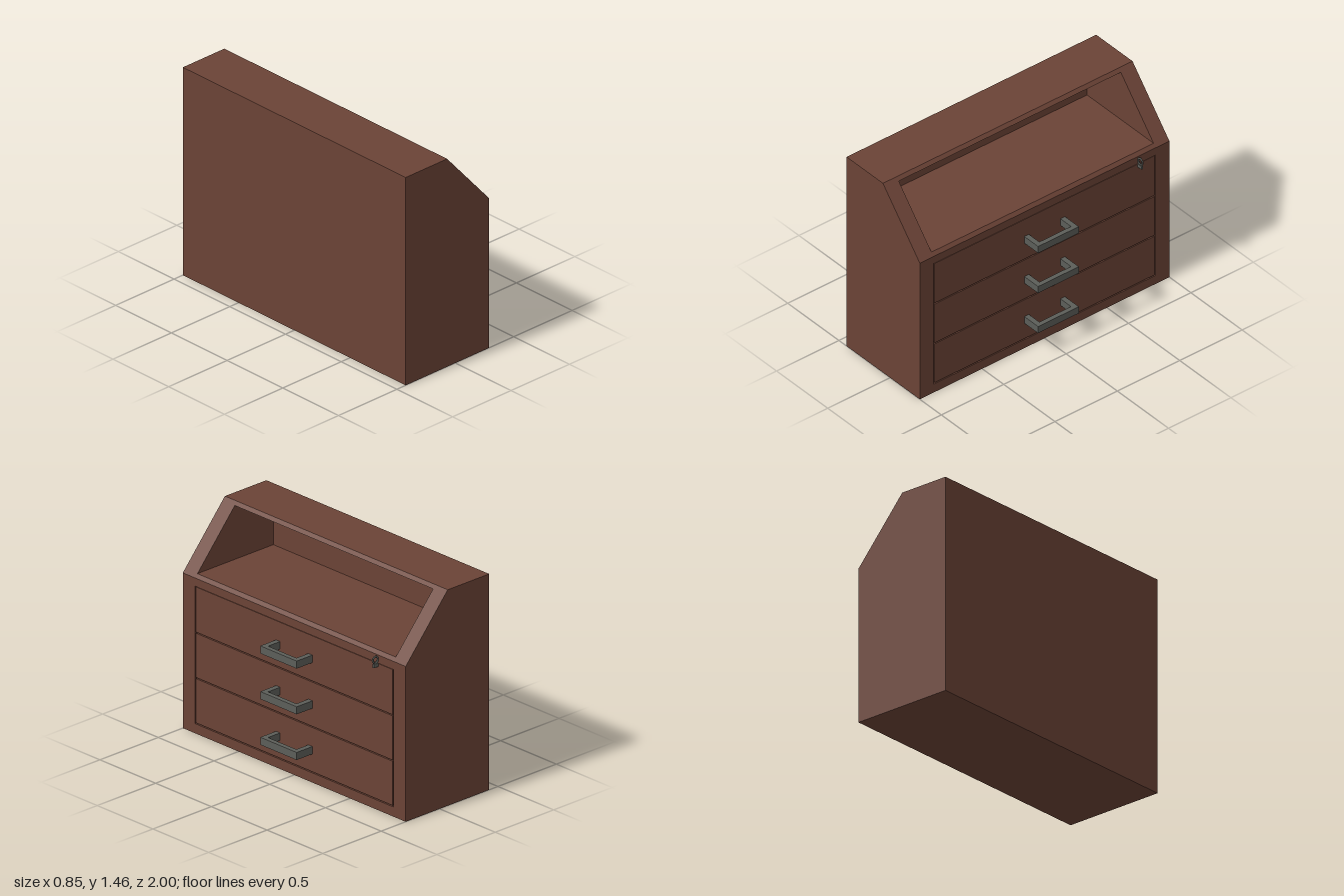
import * as THREE from 'three';

const HALF = 1;          // half length of the cabinet
const INNER = 0.89;      // half length between the side panels
const FRONT = 0.29;      // x of the drawer face
const BACK = -0.425;

export function createModel() {
  const wood = new THREE.MeshStandardMaterial({ color: 0x6b4336 });
  wood.name = 'brown wood';
  const metal = new THREE.MeshStandardMaterial({ color: 0x5c5e59 });
  metal.name = 'grey metal';

  const model = new THREE.Group();
  model.name = 'writingBureau';

  // Extrudes a side profile (x, y) between two z values
  function panel(name, points, z0, z1) {
    const shape = new THREE.Shape(points.map(([x, y]) => new THREE.Vector2(x, y)));
    const geo = new THREE.ExtrudeGeometry(shape, { depth: z1 - z0, bevelEnabled: false });
    geo.translate(0, 0, z0);
    const mesh = new THREE.Mesh(geo, wood);
    mesh.name = name;
    model.add(mesh);
  }

  // Box given by its minimum and maximum corners
  function box(parent, name, material, [x0, y0, z0], [x1, y1, z1]) {
    const mesh = new THREE.Mesh(new THREE.BoxGeometry(x1 - x0, y1 - y0, z1 - z0), material);
    mesh.position.set((x0 + x1) / 2, (y0 + y1) / 2, (z0 + z1) / 2);
    mesh.name = name;
    parent.add(mesh);
  }

  // Solid end panels with the sloping front corner
  const side = [[BACK, 0], [FRONT, 0], [FRONT, 1.05], [-0.07, 1.46], [BACK, 1.46]];
  panel('leftSidePanel', side, INNER, HALF);
  panel('rightSidePanel', side, -HALF, -INNER);

  // Carcass between the ends: drawer recess below, open desk compartment above
  panel('carcass', [
    [BACK, 0], [FRONT, 0], [FRONT, 0.065], [0.25, 0.065], [0.25, 0.995], [FRONT, 0.995],
    [FRONT, 1.05], [0.27, 1.073], [-0.38, 1.073], [-0.38, 1.437], [-0.05, 1.437],
    [-0.07, 1.46], [BACK, 1.46],
  ], -INNER, INNER);

  // Three flush drawers with narrow gaps, each with a square pull
  for (let i = 0; i < 3; i++) {
    const y = 0.073 + i * 0.307;
    const drawer = new THREE.Group();
    drawer.name = 'drawer' + (i + 1);
    box(drawer, 'drawerFront', wood, [0.24, y, -INNER + 0.009], [FRONT, y + (i === 2 ? 0.305 : 0.299), INNER - 0.009]);

    const h0 = 0.193 + i * 0.309, h1 = h0 + 0.051;
    for (const s of [-1, 1]) {
      const zs = [s * 0.127, s * 0.163].sort((a, b) => a - b);
      box(drawer, 'handleArm', metal, [FRONT - 0.005, h0, zs[0]], [0.425, h1, zs[1]]);
    }
    box(drawer, 'handleBar', metal, [0.393, h0, -0.127], [0.425, h1, 0.127]);
    model.add(drawer);
  }

  // Key in the lock near the upper right corner
  const key = new THREE.Group();
  key.name = 'key';
  box(key, 'keyShaft', metal, [FRONT - 0.005, 0.973, -0.757], [0.33, 0.997, -0.743]);
  const ring = new THREE.Mesh(new THREE.TorusGeometry(0.022, 0.006, 6, 12), metal);
  ring.name = 'keyRing';
  ring.position.set(0.311, 1.022, -0.75);
  key.add(ring);
  model.add(key);

  return model;
}
